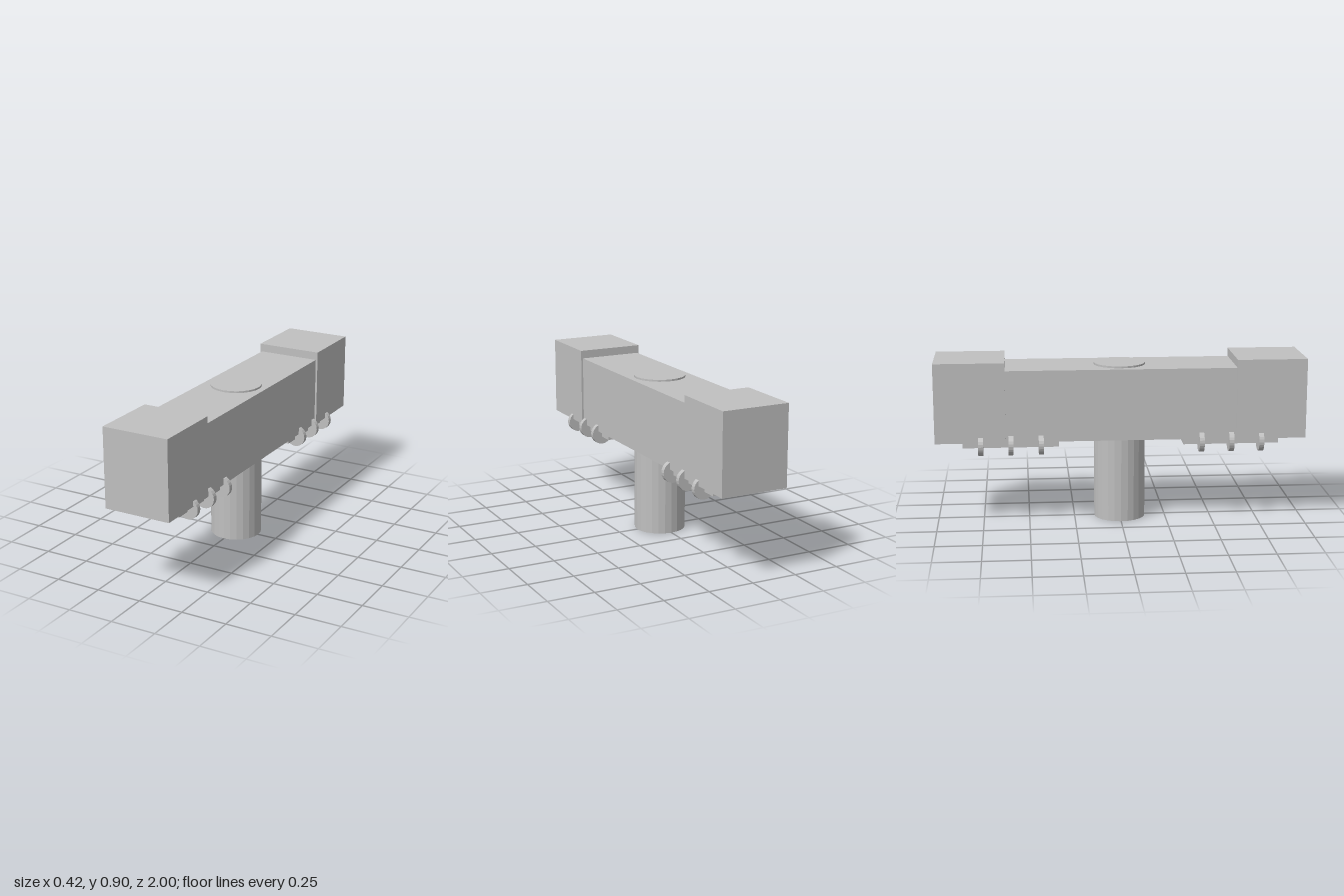
import * as THREE from 'three';

export function createModel() {
  const model = new THREE.Group();
  const grey = new THREE.MeshStandardMaterial({ color: 0xc0c0c0, flatShading: true });
  grey.name = 'light grey';

  const add = (name, geometry, x, y, z) => {
    const mesh = new THREE.Mesh(geometry, grey);
    mesh.name = name;
    mesh.position.set(x, y, z);
    model.add(mesh);
    return mesh;
  };
  // Box centred on x, given by its vertical and depth limits
  const block = (name, width, y0, y1, z0, z1) =>
    add(name, new THREE.BoxGeometry(width, y1 - y0, z1 - z0), 0, (y0 + y1) / 2, (z0 + z1) / 2);

  // Handle post, running up through the head and showing as a low cap on top
  add('handle', new THREE.CylinderGeometry(0.14, 0.14, 0.865, 24), 0, 0.4325, 0);

  // Long head
  block('head', 0.348, 0.467, 0.855, -0.622, 0.622);

  const disc = new THREE.CylinderGeometry(0.058, 0.058, 0.027, 24).rotateX(Math.PI / 2);
  for (const s of [1, -1]) {
    const end = s > 0 ? 'front' : 'back';
    // Larger end block
    block(end + 'EndBlock', 0.37, 0.467, 0.9, ...(s > 0 ? [0.622, 1] : [-1, -0.622]));
    // Plate under the head
    block(end + 'Plate', 0.304, 0.433, 0.469, ...(s > 0 ? [0.337, 0.855] : [-0.855, -0.337]));
    // Row of discs along both edges of the plate
    for (const z of [0.433, 0.595, 0.757]) {
      for (const x of [-0.152, 0.152]) add(end + 'Disc', disc, x, 0.45, s * z);
    }
  }
  return model;
}
